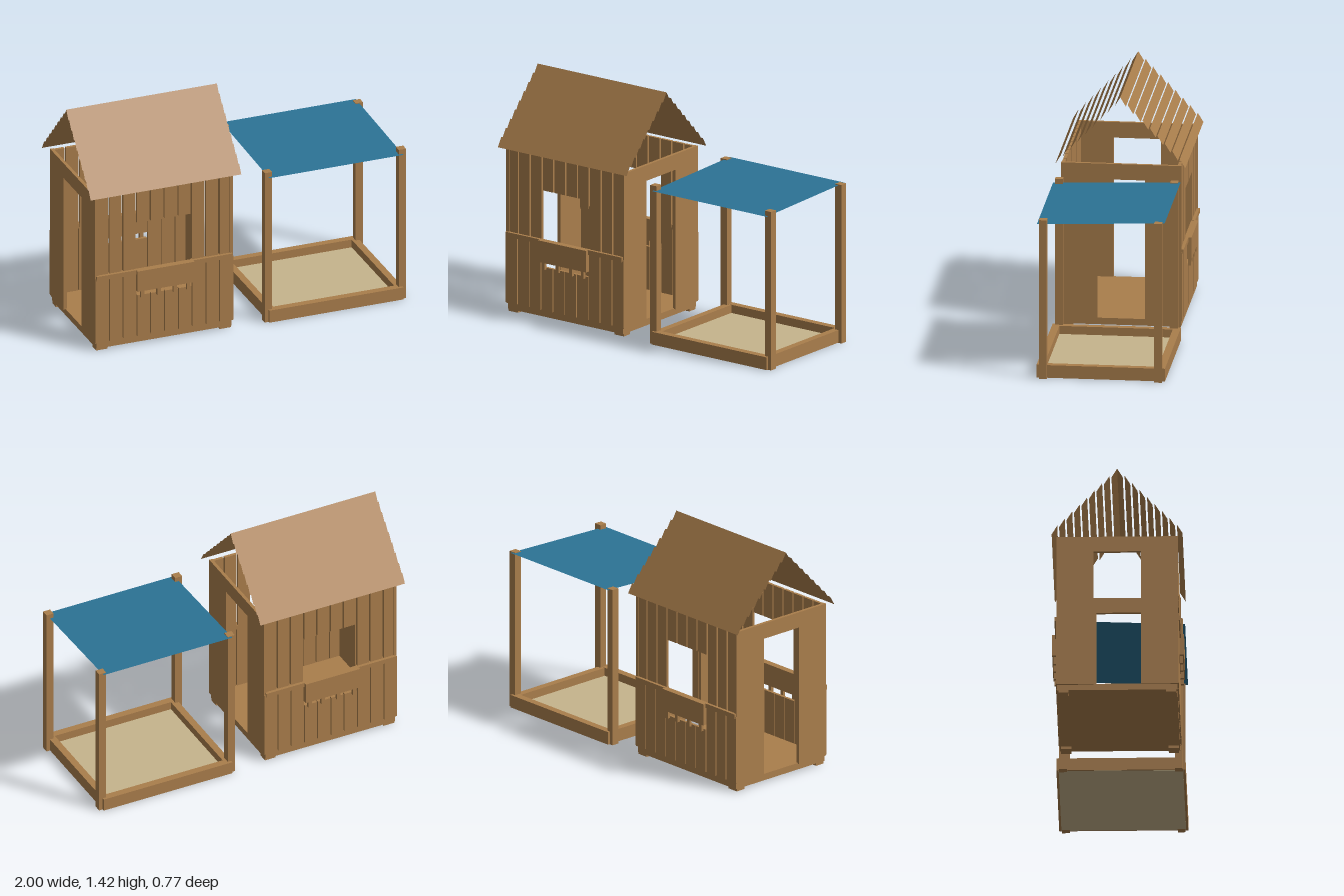
import * as THREE from 'three';

const wood = new THREE.MeshStandardMaterial({ color: 0xaa7e4c, side: THREE.DoubleSide });
wood.name = 'wood';
const fabric = new THREE.MeshStandardMaterial({ color: 0x2c7395, side: THREE.DoubleSide });
fabric.name = 'blueFabric';
const sandColour = new THREE.MeshStandardMaterial({ color: 0xc6b48c });
sandColour.name = 'sand';

// Box given by its limits on each axis
function box(parent, name, [x0, x1], [y0, y1], [z0, z1], material = wood) {
  const mesh = new THREE.Mesh(new THREE.BoxGeometry(x1 - x0, y1 - y0, z1 - z0), material);
  mesh.position.set((x0 + x1) / 2, (y0 + y1) / 2, (z0 + z1) / 2);
  mesh.name = name;
  parent.add(mesh);
  return mesh;
}

// Thin sheet running along x, from edge (y0, z0) to edge (y1, z1)
function sheet(parent, name, [x0, x1], [y0, z0], [y1, z1], material) {
  const geometry = new THREE.PlaneGeometry(x1 - x0, Math.hypot(y1 - y0, z1 - z0));
  geometry.rotateX(Math.atan2(z0 - z1, y0 - y1));
  const mesh = new THREE.Mesh(geometry, material);
  mesh.position.set((x0 + x1) / 2, (y0 + y1) / 2, (z0 + z1) / 2);
  mesh.name = name;
  parent.add(mesh);
}

// Plank wall with window, ledge and planter, facing +z
function plankWall() {
  const wall = new THREE.Group();
  wall.name = 'plankWall';
  const count = 10, left = -0.96, pitch = 0.087;
  for (let i = 0; i < count; i++) {
    const x = left + i * pitch;
    const inWindow = i >= 3 && i <= 6;
    box(wall, 'lowerPlank', [x + (i ? 0.003 : 0), x + pitch - (i < 9 ? 0.003 : 0)],
      [0.055, inWindow ? 0.32 : 0.47], [0.342, 0.36]);
    box(wall, 'upperPlank', [x + (i ? 0.005 : 0.013), x + pitch - (i < 9 ? 0.005 : 0.011)],
      [inWindow ? 0.785 : 0.47, 1], [0.332, 0.35]);
  }
  // Ledge on either side of the planter
  box(wall, 'ledge', [-0.955, -0.7], [0.46, 0.488], [0.335, 0.368]);
  box(wall, 'ledge', [-0.35, -0.098], [0.46, 0.488], [0.335, 0.368]);
  box(wall, 'planter', [-0.705, -0.347], [0.355, 0.487], [0.345, 0.386]);
  for (const x of [-0.67, -0.567, -0.465, -0.38]) {
    box(wall, 'planterPeg', [x - 0.011, x + 0.011], [0.31, 0.36], [0.362, 0.38]);
  }
  return wall;
}

function playhouse() {
  const house = new THREE.Group();
  house.name = 'playhouse';

  // Base on four feet
  box(house, 'floor', [-0.95, -0.1], [0.015, 0.055], [-0.352, 0.352]);
  for (const x of [-0.95, -0.17]) {
    for (const z of [-0.345, 0.285]) box(house, 'foot', [x, x + 0.07], [0, 0.015], [z, z + 0.06]);
  }

  // Front and back walls
  const front = plankWall();
  const back = plankWall();
  back.scale.z = -1;
  house.add(front, back);

  // End walls with doorways
  for (const [x0, x1] of [[-0.96, -0.94], [-0.11, -0.09]]) {
    for (const s of [-1, 1]) {
      const z = [s * 0.14, s * 0.355].sort((a, b) => a - b);
      box(house, 'doorPanel', [x0, x1], [0.05, 0.905], z);
    }
    box(house, 'doorLintel', [x0, x1], [0.905, 1], [-0.355, 0.355]);
  }

  // Open roof slats, each steeper than the roof itself
  const slats = 9, rise = 0.0456, run = 0.0438;
  for (const s of [-1, 1]) {
    for (let i = 0; i < slats; i++) {
      const y = 1.42 - i * rise, z = i * run;
      sheet(house, 'roofSlat', [-1, -0.05], [y, s * z], [y - 0.055, s * (z + 0.033)], wood);
    }
  }
  return house;
}

function sandpit() {
  const pit = new THREE.Group();
  pit.name = 'sandpit';

  // Corner posts
  for (const x of [0.107, 0.952]) {
    for (const z of [-0.362, 0.316]) box(pit, 'post', [x, x + 0.046], [0, 0.97], [z, z + 0.046]);
  }
  // Frame boards
  for (const z of [-0.378, 0.334]) box(pit, 'longBoard', [0.13, 0.976], [0.002, 0.08], [z, z + 0.044]);
  for (const x of [0.13, 0.934]) box(pit, 'endBoard', [x, x + 0.042], [0.002, 0.079], [-0.335, 0.335]);

  box(pit, 'sandBed', [0.14, 0.966], [0.0005, 0.03], [-0.365, 0.365], sandColour);

  // Sun canopy, a little lower at the front
  sheet(pit, 'canopy', [0.13, 0.976], [0.967, -0.376], [0.94, 0.376], fabric);
  return pit;
}

export function createModel() {
  const model = new THREE.Group();
  model.name = 'playhouseWithSandpit';
  model.add(playhouse(), sandpit());
  return model;
}
